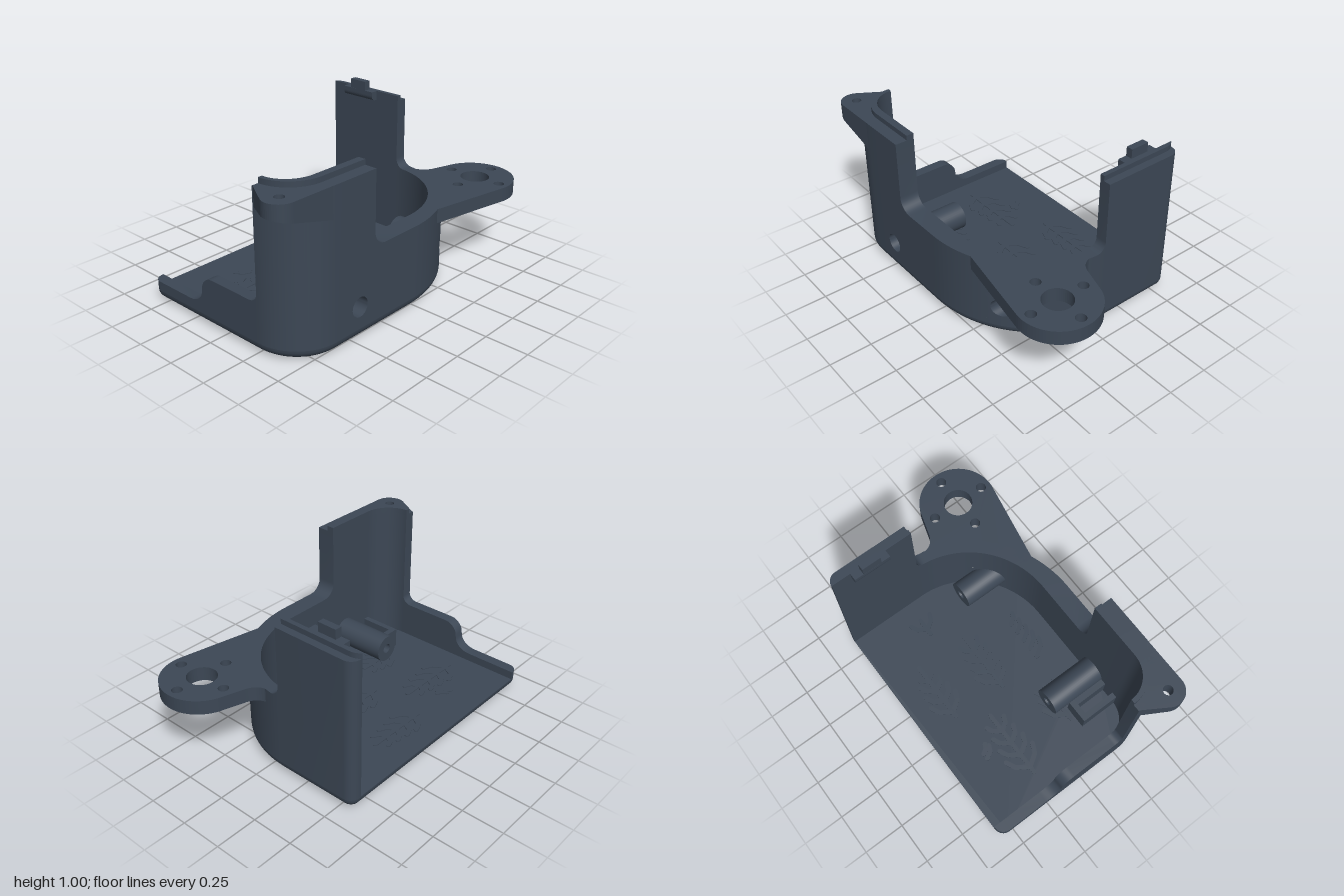
import * as THREE from 'three';
import { mergeGeometries, toCreasedNormals } from 'three/addons/utils/BufferGeometryUtils.js';

const { sin, cos, acos, max, abs, PI } = Math;
const lerp = (a, b, t) => a + (b - a) * t;
const steps = (n, f) => Array.from({ length: n + 1 }, (_, i) => f(i / n));

// Collects quads into a geometry with sharp creases
function quads() {
  const p = [];
  return {
    add: (a, b, c, d) => p.push(...a, ...b, ...c, ...a, ...c, ...d),
    build() {
      const g = new THREE.BufferGeometry();
      g.setAttribute('position', new THREE.Float32BufferAttribute(p, 3));
      return toCreasedNormals(g, 0.6);
    },
  };
}

// Plan curves of the shell: a round back corner running into the right wall
const BX = -0.085, RIGHT = 0.54;
const outerAt = a => [BX + 0.625 * sin(a), 0.04 - 0.68 * cos(a)];
const innerAt = a => [BX + 0.51 * sin(a), -0.04 - 0.53 * cos(a)];
const outerAngle = z => acos((0.04 - z) / 0.68);
const innerAngle = z => acos(-(z + 0.04) / 0.53);
const outerX = z => (z > 0.04 ? RIGHT : outerAt(outerAngle(z))[0]);
const innerX = z => (z > -0.04 ? 0.425 : innerAt(innerAngle(z))[0]);

const HOLE_Y = 0.19, HALF = 0.09;
const HOLES = [{ z: -0.385, seat: 0.28 }, { z: 0.46, seat: 0.46 }];

// Quarter rounds in the wall's top edge, starting upright or level
const upright = (x0, h0, x1, h1) => steps(8, t => [lerp(x0, x1, 1 - cos(t * PI / 2)), lerp(h0, h1, sin(t * PI / 2))]);
const level = (x0, h0, x1, h1) => steps(8, t => [lerp(x0, x1, sin(t * PI / 2)), lerp(h0, h1, 1 - cos(t * PI / 2))]);

// Columns of the wall: outer point o, inner point i, top height h
function wallColumns() {
  const c = [];
  const put = (o, i, h) => c.push({ o, i, h });
  steps(8, t => put([-0.53 - 0.06 * cos(t * PI / 2), -0.58 - 0.06 * sin(t * PI / 2)], [lerp(-0.59, -0.53, t), -0.57], 0.91));
  put([BX, -0.64], [BX, -0.57], 0.91);
  for (const [a, h] of upright(0.002, 0.55, 0.1, 0.49)) put(outerAt(a), innerAt(a), h);
  const z0 = HOLES[0].z - HALF, z1 = HOLES[0].z + HALF;
  steps(12, t => t && put(outerAt(lerp(0.1, outerAngle(z0), t)), innerAt(lerp(0.1, innerAngle(z0), t)), 0.49));
  steps(20, t => { const z = lerp(z0, z1, t); if (t) put([outerX(z), z], [innerX(z), z], 0.49); });
  steps(12, t => t && put(outerAt(lerp(outerAngle(z1), PI / 2, t)), innerAt(lerp(innerAngle(z1), PI / 2, t)), 0.49));
  for (const [z, h] of [...level(0.27, 0.49, 0.35, 0.57), [0.351, 0.91], [0.37, 0.91], [0.55, 0.91]])
    put([RIGHT, z], [0.425, z], h);
  steps(16, t => {
    const s = sin(t * PI / 2), k = cos(t * PI / 2);
    put([0.26 + 0.28 * k, 0.635 + 0.27 * s], [0.26 + 0.165 * k, 0.67 + 0.17 * s], 0.91);
  });
  for (const [x, h] of [...upright(0.259, 0.34, 0.205, 0.29), ...level(-0.08, 0.29, -0.165, 0.205), ...upright(-0.166, 0.2, -0.27, 0.12)])
    put([x, 0.905], [x, 0.84], h);
  steps(8, t => put([-0.53 - 0.06 * sin(t * PI / 2), 0.845 + 0.06 * cos(t * PI / 2)], [lerp(-0.53, -0.59, t), 0.84], 0.12));
  return c;
}

// Wall faces between columns, leaving square openings for the screw holes
function wallGeometry(cols, y0, holes = []) {
  const q = quads(), P = (p, y) => [p[0], y, p[1]];
  cols.slice(1).forEach((b, n) => {
    const a = cols[n], mz = (a.o[1] + b.o[1]) / 2, mx = (a.o[0] + b.o[0]) / 2;
    const side = (la, ha, lb, hb) => {
      q.add(P(b.o, lb), P(a.o, la), P(a.o, ha), P(b.o, hb));
      q.add(P(a.i, la), P(b.i, lb), P(b.i, hb), P(a.i, ha));
    };
    if (holes.some(h => mx > 0.25 && abs(mz - h.z) < HALF)) {
      side(y0, HOLE_Y - HALF, y0, HOLE_Y - HALF);
      side(HOLE_Y + HALF, a.h, HOLE_Y + HALF, b.h);
    } else side(y0, a.h, y0, b.h);
    q.add(P(a.o, a.h), P(a.i, a.h), P(b.i, b.h), P(b.o, b.h));
  });
  const s = cols[0], e = cols[cols.length - 1];
  q.add(P(s.o, y0), P(s.i, y0), P(s.i, s.h), P(s.o, s.h));
  q.add(P(e.i, y0), P(e.o, y0), P(e.o, e.h), P(e.i, e.h));
  return q.build();
}

// Countersunk hole, boss tube and the wall around them in one sweep of rings
function bossGeometry({ z, seat }) {
  const N = 40, q = quads();
  const ring = (r, square, fx) => steps(N, t => {
    const a = t * 2 * PI, c = cos(a), s = sin(a);
    const d = lerp(r, HALF / max(abs(c), abs(s)), square);
    const pz = z + d * c;
    return [fx(pz), HOLE_Y + d * s, pz];
  });
  const rings = [
    ...[1, 0.66, 0.33, 0].map(k => ring(0.057, k, outerX)),
    ring(0.057, 0, () => seat), ring(0.03, 0, () => seat),
    ring(0.03, 0, () => 0.085), ring(0.0825, 0, () => 0.085),
    ...[0, 0.5, 1].map(k => ring(0.0825, k, innerX)),
  ];
  rings.slice(1).forEach((b, j) => {
    const a = rings[j];
    for (let k = 0; k < N; k++) q.add(a[k], b[k], b[k + 1], a[k + 1]);
  });
  return q.build();
}

const vec = pts => pts.map(p => new THREE.Vector2(p[0], p[1]));

// Plate drawn in plan (x, z), extruded down from a given height
function plate(pts, top, depth, holes = []) {
  const s = new THREE.Shape(vec(pts));
  for (const [x, z, r] of holes) s.holes.push(new THREE.Path().absarc(x, z, r, 0, PI * 2));
  return new THREE.ExtrudeGeometry(s, { depth, bevelEnabled: false, curveSegments: 24 })
    .rotateX(PI / 2).translate(0, top, 0);
}
const arc = (x, z, r, a0, a1, n) => steps(n, t => [x + r * cos(lerp(a0, a1, t)), z + r * sin(lerp(a0, a1, t))]);

// Underside with a rounded lower edge
function trayGeometry(outline) {
  const r = 0.057, q = quads(), n = outline.length;
  const ring = t => outline.map((p, k) => {
    const a = outline[(k + n - 1) % n], b = outline[(k + 1) % n];
    const dx = b[0] - a[0], dz = b[1] - a[1], l = Math.hypot(dx, dz), e = r * (1 - sin(t * PI / 2));
    return [p[0] - dz / l * e, 0.008 + r * (1 - cos(t * PI / 2)), p[1] + dx / l * e];
  });
  const rings = steps(6, ring);
  for (let j = 0; j < 6; j++) for (let k = 0; k < n; k++) {
    const m = (k + 1) % n;
    q.add(rings[j][m], rings[j][k], rings[j + 1][k], rings[j + 1][m]);
  }
  const cap = plate(rings[0].map(p => [p[0], p[2]]), 0.012, 0.004);
  return { edge: q.build(), cap };
}

// Flat strokes with round ends making one fern sprig along z
function fern(x, z0, z1, sides, pairs, reach = 0.12) {
  const out = [];
  const stroke = (ax, az, bx, bz, w) => {
    const d = Math.atan2(bz - az, bx - ax);
    out.push(plate([
      ...arc(bx, bz, w / 2, d - PI / 2, d + PI / 2, 4),
      ...arc(ax, az, w / 2, d + PI / 2, d + 1.5 * PI, 4),
    ], 0.009, 0.009));
  };
  if (sides.length > 1) stroke(x, z0, x, z1, 0.026);
  for (const s of sides) for (let k = 0; k < pairs; k++) {
    const t = (k + 0.4) / pairs, z = lerp(z0, z1, t * 0.85), len = reach * (1 - 0.45 * t);
    stroke(x, z, x + s * len * 0.62, z - len * 0.4, 0.028);
    stroke(x + s * len * 0.62, z - len * 0.4, x + s * len * 0.85, z - len * 0.9, 0.028);
  }
  return out;
}

export function createModel() {
  const group = new THREE.Group();
  const body = new THREE.MeshStandardMaterial({ color: 0x3c4755 });
  body.name = 'slate';
  const green = new THREE.MeshStandardMaterial({ color: 0x5ab896 });
  green.name = 'leafGreen';
  const add = (name, geo, mat = body) => {
    const m = new THREE.Mesh(geo, mat);
    m.name = name;
    group.add(m);
  };

  // Tray and walls
  const cols = wallColumns();
  const outline = cols.map(c => c.o);
  const tray = trayGeometry(outline);
  add('trayEdge', tray.edge);
  add('trayUnderside', tray.cap);
  add('floor', plate(outline, 0.07, 0.006));
  add('wall', wallGeometry(cols, 0.065, HOLES));
  HOLES.forEach((h, k) => add(k ? 'frontBoss' : 'backBoss', bossGeometry(h)));

  // Raised lips on the inner half of the tall walls
  const lip = keep => wallGeometry(cols.filter(c => c.h === 0.91 && keep(c))
    .map(c => ({ i: c.i, o: [lerp(c.i[0], c.o[0], 0.38), lerp(c.i[1], c.o[1], 0.38)], h: 0.94 })), 0.905);
  add('backLip', lip(c => c.o[1] < 0));
  add('towerLip', lip(c => c.o[1] > 0));

  // Mounting flange behind the round corner
  const cx = 0.357, cz = -0.77;
  const flangeHoles = [[cx, cz, 0.085], ...[0, 1, 2, 3].map(k => [cx + 0.17 * cos(k * PI / 2), cz + 0.17 * sin(k * PI / 2), 0.03])];
  const web = new THREE.QuadraticBezierCurve(...vec([[0.095, -0.7], [0.07, -0.625], [-0.02, -0.625]]));
  add('mountingFlange', plate([
    ...arc(cx, cz, 0.23, 0.19, -2.79, 40),
    ...web.getPoints(10).map(p => [p.x, p.y]),
    ...steps(14, t => { const a = lerp(0.12, 1.23, t); return [BX + 0.566 * sin(a), -0.605 * cos(a)]; }),
    [0.485, -0.21],
  ], 0.49, 0.084, flangeHoles));

  // Screw ear on the tower, its underside sloping into the wall
  const ear = plate([
    [0.26, 0.88], [0.26, 0.9], ...arc(0.449, 0.91, 0.09, 2.08, 0, 16),
    [0.539, 0.8], [0.539, 0.7], [0.539, 0.635], ...arc(0.26, 0.65, 0.22, 0, PI / 2, 10),
  ], 0.91, 0.08, [[0.449, 0.91, 0.027]]);
  const pos = ear.attributes.position;
  for (let k = 0; k < pos.count; k++)
    if (pos.getY(k) < 0.87) pos.setY(k, 0.83 - 0.27 * (1 - pos.getZ(k)));
  ear.computeVertexNormals();
  add('screwEar', ear);

  // Snap clip on the back wall
  const clip = new THREE.Shape().moveTo(0.575, 0.885).lineTo(0.56, 0.885)
    .quadraticCurveTo(0.525, 0.885, 0.525, 0.92).lineTo(0.525, 0.94).lineTo(0.575, 0.94);
  add('clipBase', new THREE.ExtrudeGeometry(clip, { depth: 0.225, bevelEnabled: false })
    .rotateY(PI / 2).translate(-0.475, 0, 0));
  const box = (x0, x1, y0, y1, z0, z1) => new THREE.BoxGeometry(x1 - x0, y1 - y0, z1 - z0)
    .translate((x0 + x1) / 2, (y0 + y1) / 2, (z0 + z1) / 2);
  add('clipTongue', box(-0.42, -0.305, 0.92, 0.995, -0.565, -0.5255));

  // Small slotted bracket beside the front boss
  add('bracket', mergeGeometries([
    box(0.185, 0.22, 0.065, 0.19, 0.54, 0.68),
    box(0.22, 0.43, 0.065, 0.19, 0.645, 0.68),
    box(0.22, 0.43, 0.065, 0.19, 0.54, 0.58),
  ]));

  // Leaf inlays under the floor: x, start z, end z, sides, pairs, reach
  const leaves = mergeGeometries([
    [-0.04, 0.2, -0.19, [-1, 1], 4], [-0.375, 0.18, -0.2, [-1, 1], 4, 0.11],
    [-0.21, 0.72, 0.3, [-1, 1], 4], [0.16, 0.6, 0.34, [-1, 1], 3],
    [0.24, 0.2, -0.18, [1], 5, 0.1], [-0.19, -0.33, -0.44, [-1, 1], 1, 0.1], [-0.38, 0.51, 0.43, [1], 2, 0.07],
  ].flatMap(f => fern(...f)));
  add('leafInlays', leaves, green);
  // The same leaves in shallow relief on the floor
  add('floorRelief', leaves.clone().translate(0, 0.065, 0));

  return group;
}
